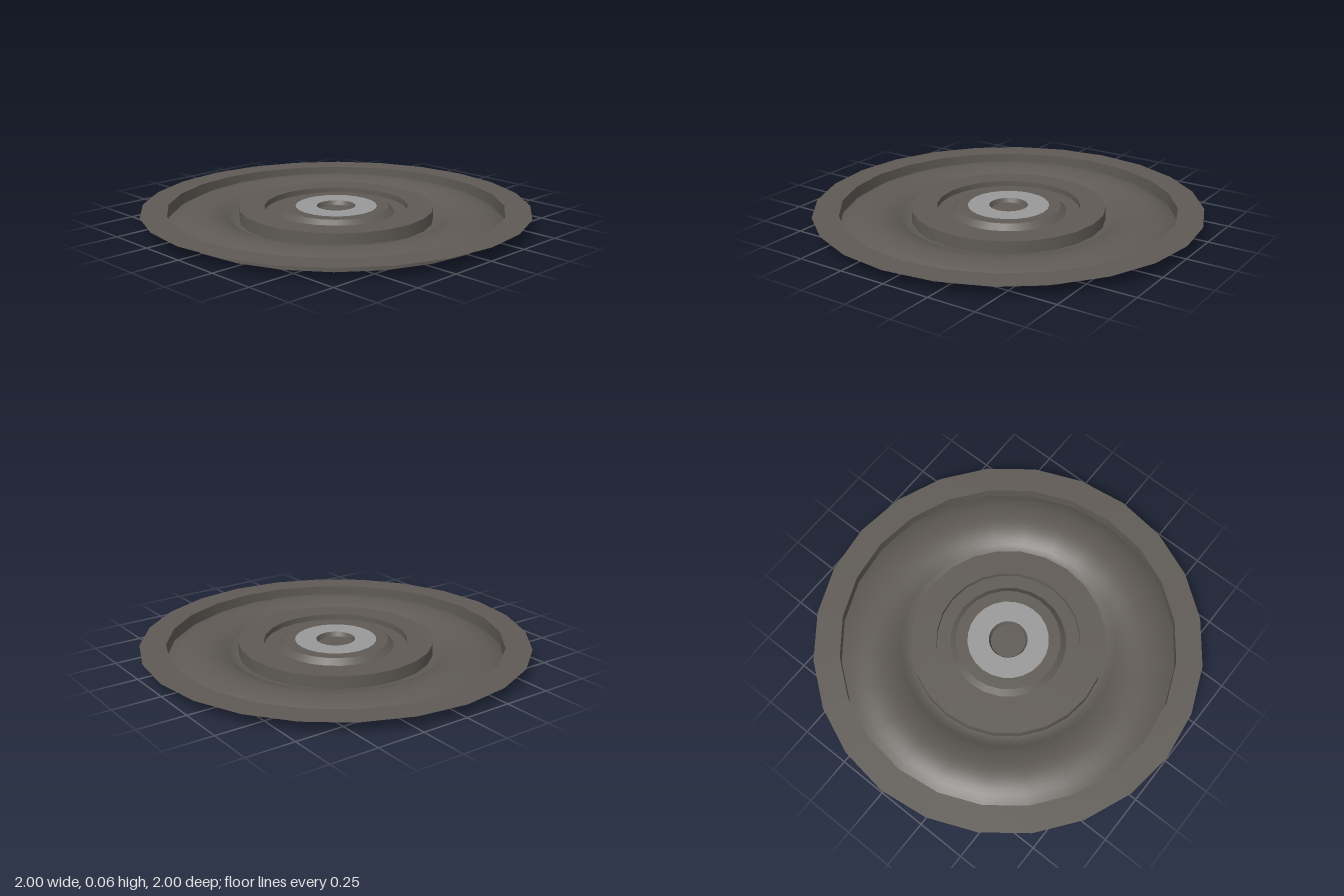
import * as THREE from 'three';

const SIDES = 24;
const TOP = 0.065;
const FLOOR = 0.036;

export function createModel() {
  const group = new THREE.Group();
  group.name = 'roundDish';

  const darkMetal = new THREE.MeshStandardMaterial({ color: 0x5f5a55, side: THREE.DoubleSide });
  darkMetal.name = 'dark metal';
  const paleMetal = new THREE.MeshStandardMaterial({ color: 0x999999, side: THREE.DoubleSide });
  paleMetal.name = 'pale metal';

  // One revolved sheet; points run from the outside inwards as [radius, height]
  const addRing = (name, points, material = darkMetal) => {
    const profile = points.map(([r, y]) => new THREE.Vector2(r, y));
    const mesh = new THREE.Mesh(new THREE.LatheGeometry(profile, SIDES), material);
    mesh.name = name;
    group.add(mesh);
  };

  // Outer flange and the wall below it
  addRing('flange', [[1, TOP], [0.866, TOP]]);
  addRing('outerWall', [[0.866, TOP], [0.866, 0]]);

  // Gently domed channel floor: a circular arc ending in a narrow flat lip
  const outer = 0.866, inner = 0.53, rise = 0.058, steps = 12;
  const half = (outer - inner) / 2;
  const radius = (half * half + rise * rise) / (2 * rise);
  const arc = [];
  for (let i = 0; i <= steps; i++) {
    const d = half * (1 - (2 * i) / steps);
    arc.push([(outer + inner) / 2 + d, Math.sqrt(radius * radius - d * d) - radius + rise]);
  }
  arc.push([0.5, 0]);
  addRing('domedChannel', arc);

  // Raised ring with a wall on each side
  addRing('raisedRingOuterWall', [[0.5, 0], [0.5, TOP]]);
  addRing('raisedRing', [[0.5, TOP], [0.37, TOP]]);
  addRing('raisedRingInnerWall', [[0.37, TOP], [0.37, FLOOR]]);

  // Groove and the bevelled hub
  addRing('groove', [[0.37, FLOOR], [0.3, FLOOR]]);
  addRing('hubBevel', [[0.3, FLOOR], [0.27, TOP]]);
  addRing('hubTop', [[0.27, TOP], [0.21, TOP]]);
  addRing('paleRing', [[0.21, TOP], [0.1, TOP]], paleMetal);

  // Sunken centre cap
  addRing('centreWall', [[0.1, TOP], [0.09, 0.042]]);
  addRing('centreCap', [[0.09, 0.042], [0, 0.042]]);

  return group;
}
